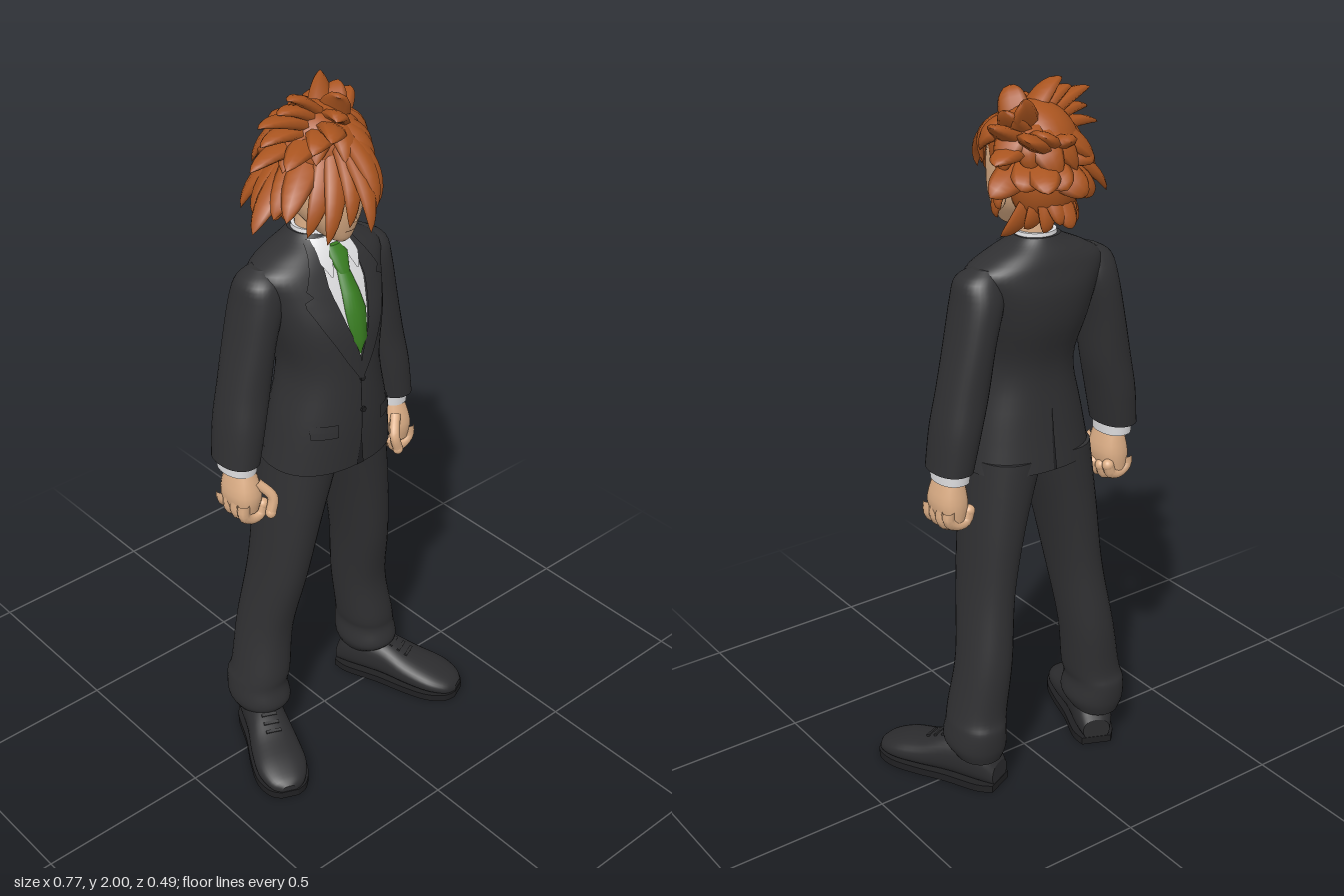
import * as THREE from 'three';

const mat = (name, color) => Object.assign(new THREE.MeshStandardMaterial({ color }), { name });
const M = {
  suit: mat('suit charcoal', 0x303032), dark: mat('sole black', 0x202022), shoe: mat('shoe leather', 0x2c2c2e),
  skin: mat('skin', 0xdcae86), shirt: mat('shirt white', 0xdedee0), tie: mat('tie green', 0x387d20),
  hair: mat('hair auburn', 0xa9541f), eyeWhite: mat('eye white', 0xf0ece6), iris: mat('iris brown', 0x6b3d22),
};
const vec = p => new THREE.Vector3(...p);

function geometry(pos, idx) {
  const g = new THREE.BufferGeometry();
  g.setAttribute('position', new THREE.Float32BufferAttribute(pos, 3));
  g.setIndex(idx);
  g.computeVertexNormals();
  return g;
}

// Skin over equal rings of points, with flat end caps
function skinRings(rings) {
  const pos = [], idx = [], n = rings[0].length;
  const add = p => pos.push(p.x, p.y, p.z) / 3 - 1;
  rings.forEach(r => r.forEach(add));
  for (let i = 0; i + 1 < rings.length; i++) for (let j = 0; j < n; j++) {
    const a = i * n + j, b = i * n + (j + 1) % n;
    idx.push(a, a + n, b, b, a + n, b + n);
  }
  [rings[0], rings[rings.length - 1]].forEach((r, top) => {
    const c = add(r.reduce((s, p) => s.add(p), new THREE.Vector3()).divideScalar(n)), f = c + 1;
    r.forEach(add);
    for (let j = 0; j < n; j++) {
      const p = f + j, q = f + (j + 1) % n;
      idx.push(c, ...(top ? [q, p] : [p, q]));
    }
  });
  return geometry(pos, idx);
}

// Spline through section rows, giving a smooth profile
function smooth(rows, steps = 4) {
  const out = [];
  rows.slice(0, -1).forEach((b, i) => {
    const c = rows[i + 1], a = rows[i - 1] ?? b, d = rows[i + 2] ?? c;
    for (let s = 0; s < steps; s++) {
      const t = s / steps;
      out.push(b.map((v, k) => v + t / 2 * (c[k] - a[k] + t * (2 * a[k] - 5 * v + 4 * c[k] - d[k] + t * (3 * (v - c[k]) + d[k] - a[k])))));
    }
  });
  return [...out, rows[rows.length - 1]];
}

// Loft of superellipse sections; a row is [y, xMin, xMax, zMin, zMax]
function loft(rows, e = 2, side = 1, seg = 32) {
  const pw = v => Math.sign(v) * Math.abs(v) ** (2 / e);
  return skinRings(rows.map(([y, x0, x1, z0, z1]) => Array.from({ length: seg }, (_, j) => {
    const a = j / seg * Math.PI * 2;
    return new THREE.Vector3(side * (x0 + x1) / 2 + (x1 - x0) / 2 * pw(Math.cos(a)), y,
      (z0 + z1) / 2 + (z1 - z0) / 2 * pw(Math.sin(a)));
  })));
}
const sym = rows => rows.map(([y, r, z0, z1]) => [y, -r, r, z0, z1]);

// Row of a table interpolated at y
function rowAt(rows, y) {
  let i = 0;
  while (i < rows.length - 2 && rows[i + 1][0] < y) i++;
  const k = THREE.MathUtils.clamp((y - rows[i][0]) / (rows[i + 1][0] - rows[i][0]), 0, 1);
  return rows[i].map((v, c) => v + (rows[i + 1][c] - v) * k);
}

// Surface depth of a lofted body, face 1 for the front and -1 for the back
function bodyZ(rows, x, y, face = 1) {
  const [, , r, z0, z1] = rowAt(rows, y), u = Math.min(Math.abs(x) / r, 0.97);
  return (z0 + z1) / 2 + face * (z1 - z0) / 2 * (1 - u ** 2.3) ** (1 / 2.3);
}

// Thin sheet following a body; edges are rows of [y, xA, xB]
function sheet(body, edges, off, side = 1, face = 1) {
  const pos = [], idx = [], nx = 8, ny = 20, y0 = edges[0][0], y1 = edges[edges.length - 1][0];
  for (let i = 0; i <= ny; i++) {
    const y = y0 + (y1 - y0) * i / ny;
    const [a, b] = rowAt(edges, y).slice(1).map(x => side * x).sort((p, q) => face * (p - q));
    for (let j = 0; j <= nx; j++) {
      const x = a + (b - a) * j / nx, v = i * (nx + 1) + j;
      pos.push(x, y, bodyZ(body, x, y, face) + face * off);
      if (i < ny && j < nx) idx.push(v, v + 1, v + nx + 1, v + 1, v + nx + 2, v + nx + 1);
    }
  }
  return geometry(pos, idx);
}

// Curved tapering lock of hair
const skull = new THREE.Vector3(0, 1.8, -0.03);
function lock(root, tip, width, bulge) {
  const mid = root.clone().lerp(tip, 0.5), out = mid.clone().sub(skull).normalize();
  const curve = new THREE.QuadraticBezierCurve3(root, mid.addScaledVector(out, bulge), tip);
  return skinRings(Array.from({ length: 11 }, (_, i) => {
    const k = i / 10, p = curve.getPoint(k), t = curve.getTangent(k);
    const n = out.clone().add(new THREE.Vector3(0, 0.15, 0.05));
    n.addScaledVector(t, -n.dot(t)).normalize();
    const s = t.clone().cross(n), w = width * (0.8 + 0.9 * k) * (1 - k) ** 0.8 + 0.0005;
    return Array.from({ length: 8 }, (_, j) => p.clone()
      .addScaledVector(s, w * Math.cos(j * Math.PI / 4)).addScaledVector(n, 0.45 * w * Math.sin(j * Math.PI / 4)));
  }));
}

export function createModel() {
  const model = new THREE.Group();
  const put = (name, geo, material, parent = model) => {
    const m = new THREE.Mesh(geo, material);
    m.name = name;
    parent.add(m);
  };
  const group = name => {
    const g = new THREE.Group();
    g.name = name;
    model.add(g);
    return g;
  };
  const tube = (pts, r) => new THREE.TubeGeometry(new THREE.CatmullRomCurve3(pts.map(vec)), 12, r, 8);
  const ball = (x, y, z, a, b, c) => new THREE.SphereGeometry(1, 28, 20).scale(a, b, c).translate(x, y, z);

  // Jacket body
  const torso = smooth(sym([[0.965, 0.19, -0.14, 0.145], [1.1, 0.166, -0.125, 0.15], [1.25, 0.136, -0.118, 0.143],
    [1.38, 0.163, -0.153, 0.133], [1.47, 0.186, -0.162, 0.1], [1.53, 0.2, -0.15, 0.068], [1.565, 0.152, -0.138, 0.045], [1.595, 0.088, -0.12, 0.02], [1.612, 0.062, -0.11, 0.004]]));
  put('jacket', loft(torso, 2.3, 1, 48), M.suit);

  // Shirt front, solid tie, buttons, jacket opening and back vent
  put('shirtFront', sheet(torso, [[1.3, 0, 0], [1.4, -0.036, 0.036], [1.5, -0.06, 0.06], [1.605, -0.055, 0.055]], 0.004), M.shirt);
  const tieRow = ([y, w, out]) => [y, -w, w, bodyZ(torso, 0, y) - 0.01, bodyZ(torso, 0, y) + out];
  put('tie', loft([[1.312, 0.003, 0.006], [1.355, 0.026, 0.016], [1.43, 0.034, 0.022], [1.48, 0.028, 0.022], [1.535, 0.019, 0.016]].map(tieRow), 1.6, 1, 20), M.tie);
  put('tieKnot', loft([[1.525, 0.017, 0.018], [1.568, 0.031, 0.026], [1.588, 0.022, 0.018]].map(tieRow), 2.2, 1, 20), M.tie);
  put('jacketOpening', sheet(torso, [[0.967, -0.012, 0.012], [1.05, -0.0015, 0.0015], [1.3, -0.0015, 0.0015]], 0.003), M.dark);
  put('backVent', sheet(torso, [[0.967, -0.005, 0.005], [1.14, -0.0015, 0.0015]], 0.003, 1, -1), M.dark);
  for (const y of [1.14, 1.235])
    put('button', new THREE.CylinderGeometry(0.008, 0.008, 0.006, 14).rotateX(Math.PI / 2).translate(0.006, y, bodyZ(torso, 0, y) + 0.003), M.dark);

  // Neck and shirt collar
  put('neck', new THREE.CylinderGeometry(0.046, 0.05, 0.14, 24).translate(0, 1.61, -0.045), M.skin);
  put('shirtCollar', loft(sym([[1.55, 0.07, -0.11, 0.03], [1.622, 0.055, -0.102, 0.003]])), M.shirt);

  // Head
  const head = smooth(sym([[1.612, 0.016, 0.03, 0.078], [1.63, 0.04, -0.02, 0.092], [1.69, 0.08, -0.1, 0.105],
    [1.76, 0.093, -0.135, 0.107], [1.83, 0.095, -0.14, 0.095], [1.9, 0.068, -0.11, 0.05], [1.925, 0.02, -0.05, 0]]));
  put('head', loft(head, 2.3), M.skin);
  put('nose', loft(sym([[1.672, 0.004, 0.095, 0.104], [1.684, 0.01, 0.085, 0.124], [1.75, 0.003, 0.085, 0.106]]), 1.8, 1, 12), M.skin);
  put('mouth', sheet(head, [[1.648, -0.016, 0.016], [1.65, -0.016, 0.016]], 0.002), M.iris);

  // Limb sections for the left side
  const leg = smooth([[0.1, 0.15, 0.275, -0.14, 0.01], [0.14, 0.132, 0.294, -0.152, 0.05], [0.2, 0.136, 0.29, -0.156, 0.04], [0.25, 0.127, 0.28, -0.145, 0.042],
    [0.4, 0.11, 0.252, -0.146, 0.037], [0.6, 0.085, 0.222, -0.128, 0.077], [0.8, 0.042, 0.202, -0.128, 0.1], [1, -0.02, 0.18, -0.13, 0.115]], 6);
  const arm = smooth([[1.012, 0.222, 0.332, -0.12, 0.034], [1.12, 0.198, 0.32, -0.128, 0.034], [1.22, 0.174, 0.301, -0.128, 0.028],
    [1.35, 0.154, 0.272, -0.132, 0.03], [1.46, 0.125, 0.25, -0.13, 0.032], [1.52, 0.12, 0.236, -0.11, 0.018], [1.548, 0.125, 0.195, -0.085, -0.02]]);
  const palm = smooth([[0.865, 0.24, 0.312, -0.088, 0.03], [0.92, 0.228, 0.32, -0.09, 0.036], [1, 0.245, 0.3, -0.075, 0.01]]);
  const upper = smooth([[-0.148, 0.04, 0.08], [-0.1, 0.057, 0.14], [0, 0.06, 0.135], [0.09, 0.071, 0.1], [0.17, 0.073, 0.078], [0.225, 0.052, 0.056], [0.246, 0.022, 0.04]]
    .map(([z, w, h]) => [z, -w, w, -h, -0.01]));
  const soleEdge = upper.map(([z, , w]) => new THREE.Vector2(w + 0.004, z * 1.01));
  const soleShape = new THREE.Shape([...soleEdge, ...soleEdge.map(p => new THREE.Vector2(-p.x, p.y)).reverse()]);

  for (const s of [1, -1]) {
    const part = n => (s > 0 ? 'left' : 'right') + n;
    put(part('TrouserLeg'), loft(leg, 2.2, s), M.suit);
    put(part('Sleeve'), loft(arm, 2.2, s), M.suit);
    put(part('Cuff'), loft([[0.98, 0.23, 0.32, -0.104, 0.02], [1.03, 0.228, 0.32, -0.106, 0.022]], 2.2, s), M.shirt);

    // Loosely closed hand
    const hand = group(part('Hand'));
    put('palm', loft(palm, 2.4, s, 20), M.skin, hand);
    for (let f = 0; f < 4; f++) {
      const z = -0.074 + f * 0.031, low = f === 0 ? 0.856 : 0.845;
      put('finger', tube([[s * 0.303, 0.9, z], [s * 0.303, low + 0.018, z], [s * 0.28, low, z], [s * 0.25, low + 0.003, z], [s * 0.238, low + 0.03, z]], 0.017), M.skin, hand);
      put('fingertip', ball(s * 0.238, low + 0.03, z, 0.017, 0.017, 0.017), M.skin, hand);
    }
    put('thumb', tube([[s * 0.255, 0.95, 0.015], [s * 0.225, 0.905, 0.046], [s * 0.235, 0.86, 0.05]], 0.015), M.skin, hand);
    put('thumbTip', ball(s * 0.235, 0.86, 0.05, 0.015, 0.017, 0.015), M.skin, hand);

    // Shoe, turned outward
    const foot = group(part('Shoe'));
    foot.position.set(s * 0.238, 0, 0.012);
    foot.rotation.y = s * 0.42;
    put('upper', loft(upper, 2.3).rotateX(Math.PI / 2), M.shoe, foot);
    put('sole', new THREE.ExtrudeGeometry(soleShape, { depth: 0.022, bevelEnabled: false }).rotateX(Math.PI / 2).translate(0, 0.022, 0), M.dark, foot);
    for (const z of [0.03, 0.055, 0.08])
      put('lace', new THREE.BoxGeometry(0.045, 0.006, 0.009).rotateX(0.38).translate(0, 0.137 - z * 0.4, z), M.shoe, foot);

    // Lapel, upper collar, pocket flap and shirt collar tip
    put(part('Lapel'), sheet(torso, [[1.24, 0, 0.006], [1.3, 0, 0.045], [1.4, 0.036, 0.1], [1.475, 0.055, 0.135], [1.49, 0.058, 0.105]], 0.008, s), M.suit);
    put(part('JacketCollar'), sheet(torso, [[1.48, 0.056, 0.1], [1.505, 0.06, 0.122], [1.605, 0.05, 0.066]], 0.008, s), M.suit);
    put(part('PocketFlap'), sheet(torso, [[1.08, 0.075, 0.14], [1.12, 0.075, 0.14]], 0.005, s), M.suit);
    put(part('CollarTip'), sheet(torso, [[1.525, 0.04, 0.046], [1.56, 0.026, 0.064], [1.608, 0.006, 0.054]], 0.014, s), M.shirt);

    // Ear, eye and brow
    put(part('Ear'), ball(s * 0.092, 1.715, -0.02, 0.012, 0.033, 0.02), M.skin);
    put(part('EyeWhite'), sheet(head, [[1.725, 0.03, 0.045], [1.742, 0.022, 0.061]], 0.002, s), M.eyeWhite);
    put(part('Iris'), sheet(head, [[1.726, 0.035, 0.044], [1.742, 0.033, 0.046]], 0.003, s), M.iris);
    put(part('EyeLid'), sheet(head, [[1.74, 0.018, 0.062], [1.744, 0.022, 0.064]], 0.004, s), M.dark);
    put(part('Brow'), sheet(head, [[1.753, 0.015, 0.025], [1.768, 0.045, 0.068]], 0.004, s), M.hair);
  }

  // Hair mass, then fans of locks whose tips run along a curve
  const hair = group('hair');
  put('hairCap', ball(-0.005, 1.83, -0.035, 0.112, 0.122, 0.125), M.hair, hair);
  put('hairBack', ball(0, 1.755, -0.085, 0.095, 0.11, 0.085), M.hair, hair);
  const fan = (name, count, width, bulge, root, ...tips) => {
    const r = vec(root), path = new THREE.CatmullRomCurve3(tips.map(vec));
    for (let i = 0; i < count; i++) {
      const tip = path.getPoint(i / (count - 1)).lerp(r, i % 2 * 0.1);
      put(name, lock(r, tip, width, bulge), M.hair, hair);
    }
  };
  fan('scalpLayer', 11, 0.058, 0.07, [0.04, 1.9, -0.06], [0.125, 1.83, 0.02], [-0.03, 1.84, 0.12], [-0.16, 1.83, 0.03], [-0.12, 1.79, -0.14], [0.03, 1.78, -0.19], [0.14, 1.8, -0.1]);
  fan('fringe', 8, 0.04, 0.09, [0.02, 1.91, 0.01], [0.085, 1.78, 0.06], [-0.02, 1.71, 0.22], [-0.16, 1.65, 0.11]);
  fan('sideSweep', 5, 0.055, 0.09, [0.03, 1.88, -0.04], [-0.2, 1.73, 0.09], [-0.25, 1.69, 0.02], [-0.19, 1.7, -0.1]);
  fan('upperSweep', 5, 0.052, 0.07, [0.05, 1.86, -0.04], [-0.245, 1.85, 0.01], [-0.21, 1.95, 0], [-0.11, 1.99, -0.01]);
  fan('topFront', 5, 0.052, 0.07, [0.04, 1.86, -0.04], [-0.19, 1.86, 0.08], [-0.09, 1.92, 0.13], [0.02, 1.975, 0.03]);
  fan('crown', 4, 0.058, 0.05, [0.03, 1.84, -0.05], [0.1, 1.98, -0.13], [0.165, 1.955, -0.1], [0.21, 1.835, -0.15]);
  fan('upperBack', 4, 0.062, 0.06, [0, 1.83, -0.06], [0.14, 1.9, -0.2], [0.05, 1.9, -0.2], [-0.12, 1.8, -0.16]);
  fan('back', 6, 0.06, 0.07, [0.02, 1.82, -0.07], [0.2, 1.755, -0.13], [0.07, 1.77, -0.245], [-0.14, 1.7, -0.14]);
  fan('nape', 8, 0.044, 0.06, [0, 1.77, -0.09], [0.13, 1.63, -0.075], [0, 1.65, -0.185], [-0.11, 1.63, -0.075]);
  for (const s of [1, -1]) fan('sideburn', 2, 0.028, 0.06, [s * 0.07, 1.79, -0.035], [s * 0.1, 1.66, -0.02], [s * 0.135, 1.69, -0.08]);
  return model;
}
